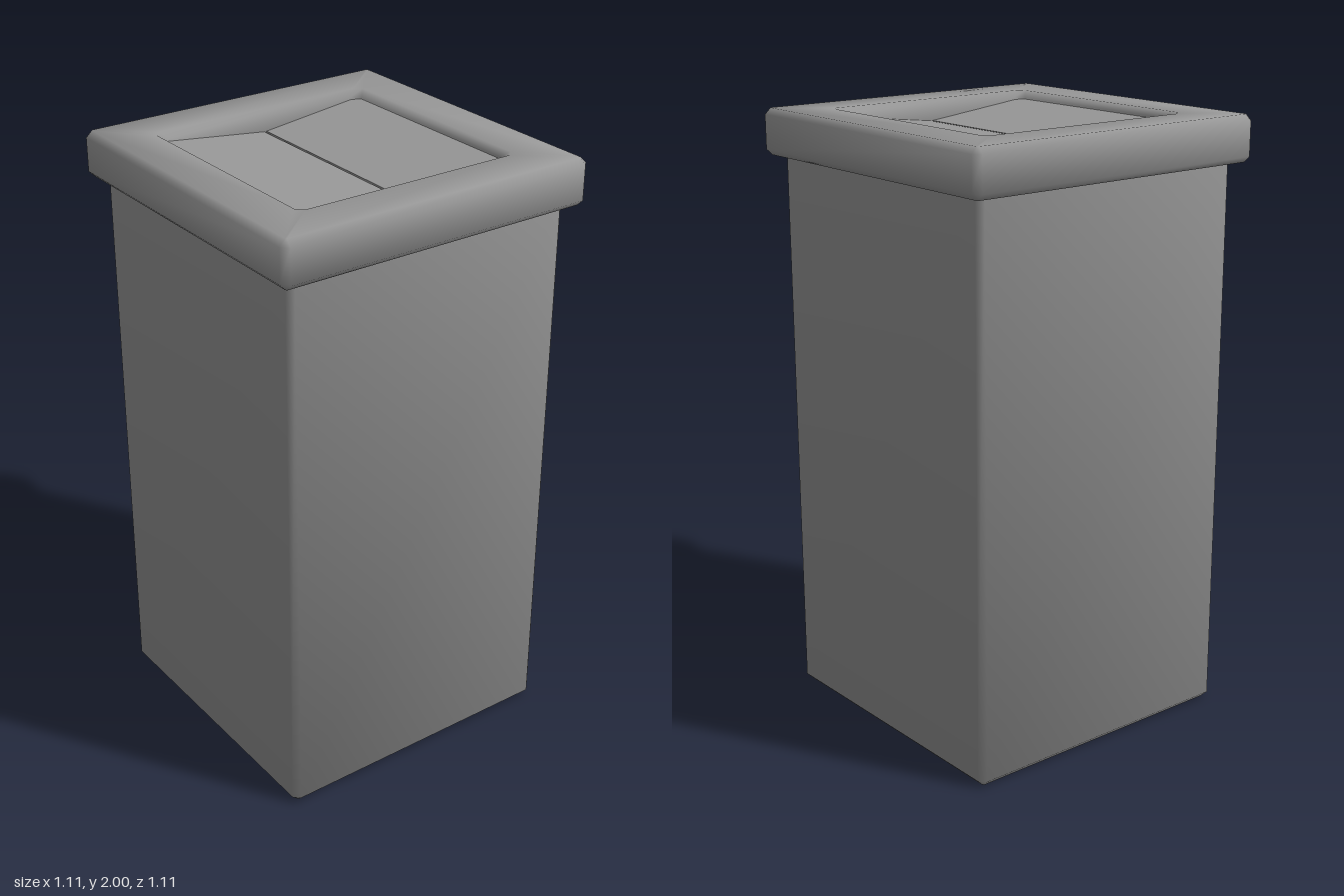
import * as THREE from 'three';

const grey = new THREE.MeshStandardMaterial({ color: 0x989898 });

// Vertex normals weighted by corner angle, so thin bevels blend softly into large faces
function softNormals(geometry) {
  const pos = geometry.attributes.position;
  const index = geometry.index.array;
  const sums = Array.from({ length: pos.count }, () => new THREE.Vector3());
  for (let f = 0; f < index.length; f += 3) {
    const ids = [index[f], index[f + 1], index[f + 2]];
    const p = ids.map((i) => new THREE.Vector3().fromBufferAttribute(pos, i));
    const normal = new THREE.Triangle(p[0], p[1], p[2]).getNormal(new THREE.Vector3());
    ids.forEach((id, k) => {
      const a = p[(k + 1) % 3].clone().sub(p[k]);
      const b = p[(k + 2) % 3].clone().sub(p[k]);
      sums[id].addScaledVector(normal, a.angleTo(b));
    });
  }
  const normals = sums.flatMap((v) => v.normalize().toArray());
  geometry.setAttribute('normal', new THREE.Float32BufferAttribute(normals, 3));
  return geometry;
}

// Square with cut corners at height y, counter-clockwise seen from above
function cutSquare([half, y, cut]) {
  const points = [];
  for (let q = 0; q < 4; q++) {
    const c = Math.round(Math.cos(q * Math.PI / 2));
    const s = Math.round(Math.sin(q * Math.PI / 2));
    for (const t of [-(half - cut), half - cut]) {
      points.push(half * c - t * s, y, -(half * s + t * c));
    }
  }
  return points;
}

// Joins [half width, height, corner cut] sections; closed = frame, otherwise a cup with a floor
function loft(sections, closed) {
  const positions = sections.flatMap(cutSquare);
  const n = sections.length;
  const index = [];
  for (let i = 0; i < (closed ? n : n - 1); i++) {
    for (let j = 0; j < 8; j++) {
      const k = (j + 1) % 8;
      const next = (i + 1) % n;
      const a = i * 8 + j, b = i * 8 + k, c = next * 8 + k, d = next * 8 + j;
      index.push(a, b, c, a, c, d);
    }
  }
  if (!closed) {
    for (let j = 1; j < 7; j++) index.push(0, j + 1, j);
  }
  const geometry = new THREE.BufferGeometry();
  geometry.setAttribute('position', new THREE.Float32BufferAttribute(positions, 3));
  geometry.setIndex(index);
  return softNormals(geometry);
}

function addMesh(group, name, geometry) {
  const mesh = new THREE.Mesh(geometry, grey);
  mesh.name = name;
  group.add(mesh);
  return mesh;
}

// Thin panel whose top surface runs from (z0, y0) to (z1, y1)
function addFlap(group, name, z0, y0, z1, y1) {
  const thickness = 0.02;
  const length = Math.hypot(z1 - z0, y1 - y0);
  const angle = Math.atan2(y1 - y0, z1 - z0);
  const geometry = new THREE.BoxGeometry(0.754, thickness, length);
  geometry.translate(0, -thickness / 2, 0);
  const flap = addMesh(group, name, geometry);
  flap.position.set(0, (y0 + y1) / 2, (z0 + z1) / 2);
  flap.rotation.x = -angle;
}

export function createModel() {
  const bin = new THREE.Group();
  bin.name = 'bin';

  // Tall body with bevelled base and straight upper rim
  addMesh(bin, 'body', loft([
    [0.482, 0, 0.005],
    [0.505, 0.023, 0.02],
    [0.505, 1.88, 0.02],
  ], false));

  // Flat panel closing the body under the lid
  const bodyTop = addMesh(bin, 'bodyTop', new THREE.BoxGeometry(1, 0.02, 1));
  bodyTop.position.y = 1.87;

  // Overhanging lid frame with a square opening
  addMesh(bin, 'lidFrame', loft([
    [0.533, 1.85, 0.004],
    [0.553, 1.87, 0.022],
    [0.553, 1.98, 0.022],
    [0.533, 2, 0.004],
    [0.393, 2, 0.022],
    [0.375, 1.98, 0.024],
    [0.375, 1.868, 0.024],
    [0.393, 1.85, 0.022],
  ], true));

  // Two flaps sloping down to the middle of the opening
  addFlap(bin, 'backFlap', -0.378, 1.974, -0.013, 1.93);
  addFlap(bin, 'frontFlap', -0.004, 1.93, 0.372, 1.974);

  return bin;
}
